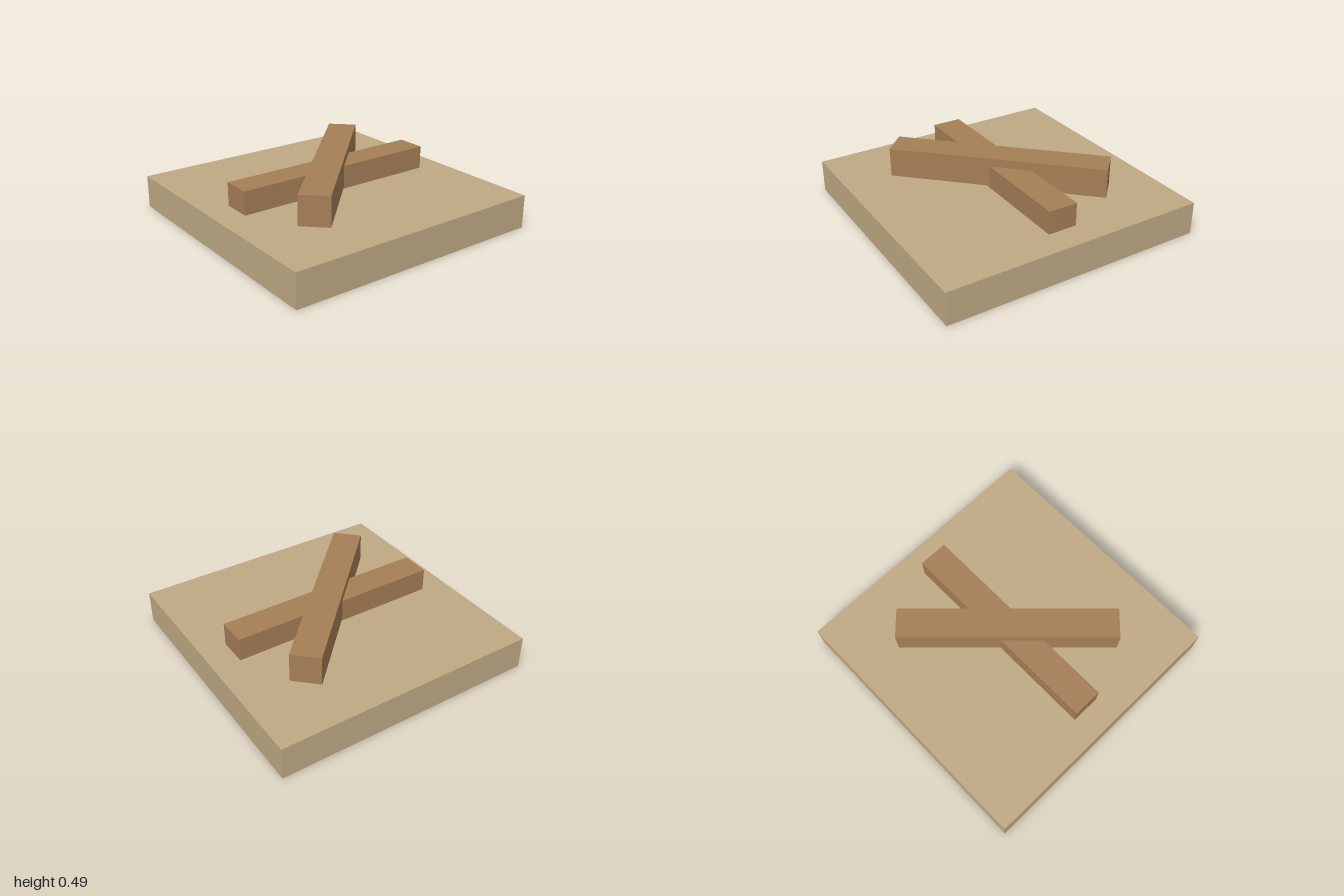
import * as THREE from 'three';

export function createModel() {
  const group = new THREE.Group();
  const sand = new THREE.MeshStandardMaterial({ color: 0xbfa984 });
  const wood = new THREE.MeshStandardMaterial({ color: 0xa47e56 });

  const addBox = (name, [w, h, d], y, material, turn = 0) => {
    const mesh = new THREE.Mesh(new THREE.BoxGeometry(w, h, d), material);
    mesh.name = name;
    mesh.position.y = y;
    mesh.rotation.y = turn;
    group.add(mesh);
  };

  // Square slab
  addBox('base', [2, 0.25, 2], 0.125, sand);

  // Two equal beams: one sunk slightly into the slab, one laid diagonally across it
  const beam = [1.6, 0.22, 0.22];
  addBox('lowerBeam', beam, 0.315, wood);
  addBox('upperBeam', beam, 0.377, wood, 0.8);

  return group;
}
